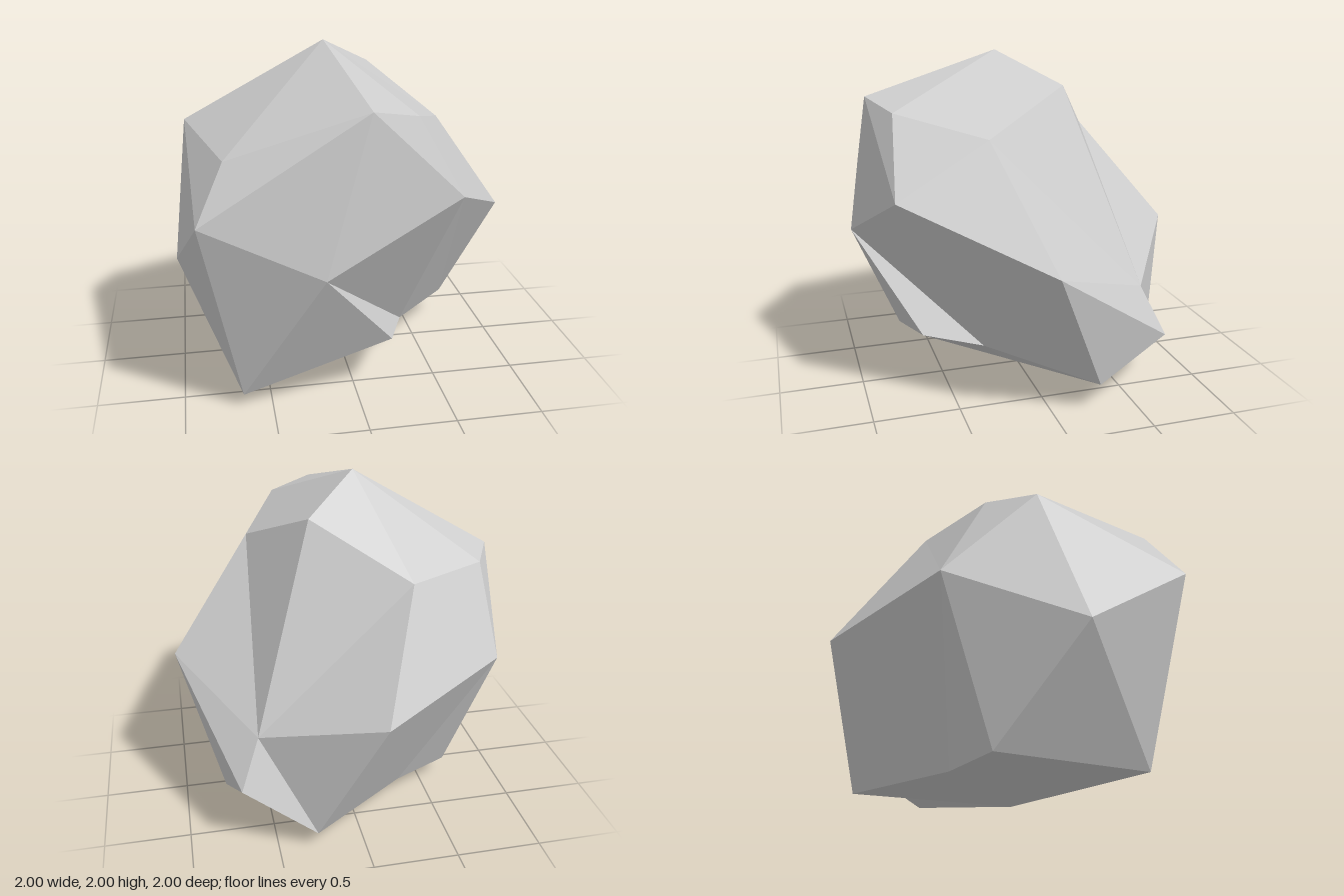
import * as THREE from 'three';

// Cross-sections of the boulder: rings of eight [x, y, z] points, turning from front to +x
const crown = [-0.11, 2.0, 0.11];
const upperRing = [
  [0.28, 1.71, 0.79], [0.51, 1.58, 0.31], [0.21, 1.815, -0.21], [-0.32, 1.505, -0.515],
  [-0.785, 1.515, -0.28], [-0.91, 1.54, -0.02], [-0.725, 1.5, 0.72], [0.015, 1.77, 0.905],
];
const middleRing = [
  [0.53, 1.27, 0.83], [1.0, 0.93, 0.065], [0.58, 0.675, -0.58], [-0.07, 0.89, -1.0],
  [-0.835, 1.01, -0.535], [-1.0, 0.77, 0.23], [-0.88, 1.2, 0.875], [-0.235, 0.92, 1.0],
];
const lowerRing = [
  [0.33, 0.3, 0.31], [0.76, 0.17, -0.27], [0.695, 0.4, -0.695], [0.275, 0.1, -0.765],
  [-0.32, 0.1, -0.34], [-0.66, 0.12, -0.2], [-0.665, 0.085, 0.665], [0.2, 0.355, 0.65],
];
const base = [-0.08, 0, 0.085];

function boulderGeometry() {
  const positions = [];
  const triangle = (a, b, c) => positions.push(...a, ...b, ...c);

  // Joins two rings; rising(j) picks which way each facet is split
  const band = (top, bottom, rising) => {
    for (let j = 0; j < 8; j++) {
      const k = (j + 1) % 8;
      if (rising(j)) {
        triangle(bottom[j], bottom[k], top[k]);
        triangle(bottom[j], top[k], top[j]);
      } else {
        triangle(bottom[j], bottom[k], top[j]);
        triangle(bottom[k], top[k], top[j]);
      }
    }
  };

  band(upperRing, middleRing, (j) => j % 2 === 0);
  band(middleRing, lowerRing, (j) => j === 6);

  // Crown and underside close as fans
  for (let j = 0; j < 8; j++) {
    const k = (j + 1) % 8;
    triangle(crown, upperRing[j], upperRing[k]);
    triangle(base, lowerRing[k], lowerRing[j]);
  }

  const geometry = new THREE.BufferGeometry();
  geometry.setAttribute('position', new THREE.Float32BufferAttribute(positions, 3));
  geometry.computeVertexNormals();
  return geometry;
}

export function createModel() {
  const group = new THREE.Group();
  group.name = 'rock';
  const material = new THREE.MeshStandardMaterial({ color: 0xcccccc, flatShading: true });
  const boulder = new THREE.Mesh(boulderGeometry(), material);
  boulder.name = 'boulder';
  group.add(boulder);
  return group;
}
